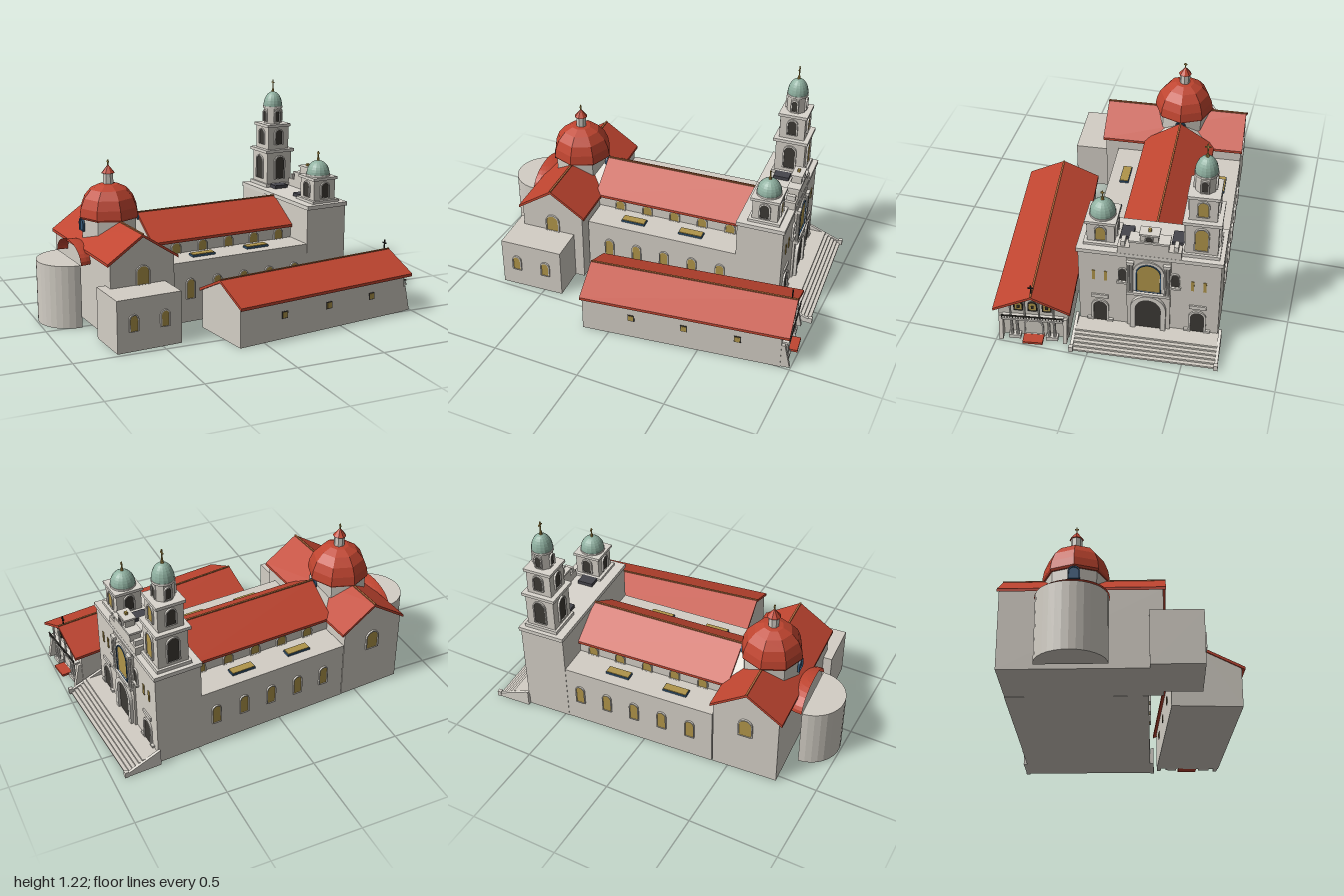
import * as THREE from 'three';

const C = { stone: 0xd3cec5, trim: 0xdad6ce, roof: 0xc04530, ridge: 0xb0683c, green: 0x8fb0a0, gold: 0xb0954a, dark: 0x3d3a35, blue: 0x35597a, iron: 0x222222, slate: 0x45454c };
const mats = {};
function mat(color, flat = true) {
  const key = color + '_' + flat;
  return mats[key] ??= new THREE.MeshStandardMaterial({ color, flatShading: flat, side: THREE.DoubleSide });
}
function add(parent, name, geo, color, x = 0, y = 0, z = 0, ry = 0, flat = true) {
  const m = new THREE.Mesh(geo, mat(color, flat));
  m.name = name;
  m.position.set(x, y, z);
  m.rotation.y = ry;
  parent.add(m);
  return m;
}
// Box given by its ranges in x, y and z
function box(parent, name, color, x0, x1, y0, y1, z0, z1) {
  return add(parent, name, new THREE.BoxGeometry(x1 - x0, y1 - y0, z1 - z0), color, (x0 + x1) / 2, (y0 + y1) / 2, (z0 + z1) / 2);
}
function slab(parent, name, color, x, z, half, y0, y1) {
  return box(parent, name, color, x - half, x + half, y0, y1, z - half, z + half);
}
function cyl(parent, name, color, r0, r1, y0, y1, x, z, n = 8, ry = 0) {
  return add(parent, name, new THREE.CylinderGeometry(r1, r0, y1 - y0, n), color, x, (y0 + y1) / 2, z, ry);
}
const extrude = (shape, depth) => new THREE.ExtrudeGeometry(shape, { depth, bevelEnabled: false, curveSegments: 8 });
const poly = pts => new THREE.Shape(pts.map(p => new THREE.Vector2(...p)));

function archPath(w, h, Type = THREE.Shape, y0 = 0) {
  const r = w / 2, s = new Type();
  s.moveTo(-r, y0);
  s.lineTo(r, y0);
  s.lineTo(r, h - r);
  s.absarc(0, h - r, r, 0, Math.PI, false);
  s.lineTo(-r, y0);
  return s;
}
// Arched opening: flat pane plus a raised surround, facing +z before turning by ry
function arch(parent, name, color, w, h, x, y, z, ry, rim = 0.007, rimColor = C.trim, depth = 0.01) {
  const g = new THREE.Group();
  g.name = name;
  g.position.set(x, y, z);
  g.rotation.y = ry;
  add(g, name + 'Pane', extrude(archPath(w, h), 0.004), color);
  if (rim) {
    const s = archPath(w + 2 * rim, h + rim);
    s.holes.push(archPath(w, h, THREE.Path, 0.001));
    add(g, name + 'Surround', extrude(s, depth), rimColor);
  }
  parent.add(g);
}
const E = Math.PI / 2, W = -Math.PI / 2, S = 0, N = Math.PI;

// Gabled wall block and its roof, running along x or z from a to b
function gabled(parent, name, o) {
  const { half, eave, ridge, a, b, ra, rb, axis = 'x', c = 0, over = 0.018 } = o;
  const slope = (ridge - eave) / half, R = half + over, e = ridge - slope * R, t = 0.016;
  const wall = extrude(poly([[-half, 0], [half, 0], [half, eave], [0, ridge], [-half, eave]]), b - a);
  const roof = extrude(poly([[-R, e], [0, ridge], [R, e], [R, e + t], [0, ridge + t], [-R, e + t]]), rb - ra);
  const cap = new THREE.BoxGeometry(0.01, 0.006, rb - ra);
  const ry = axis === 'x' ? E : 0;
  const at = s => axis === 'x' ? [s, 0, c] : [c, 0, s];
  add(parent, name + 'Walls', wall, C.stone, ...at(a), ry);
  add(parent, name + 'Roof', roof, C.roof, ...at(ra), ry);
  const [x, , z] = at((ra + rb) / 2);
  add(parent, name + 'RidgeTiles', cap, C.ridge, x, ridge + t, z, ry);
}
function cross(parent, color, x, y, z, h) {
  box(parent, 'crossPost', color, x - 0.003, x + 0.003, y, y + h, z - 0.003, z + 0.003);
  box(parent, 'crossArm', color, x - 0.003, x + 0.003, y + h * 0.65, y + h * 0.65 + 0.006, z - h * 0.25, z + h * 0.25);
}
function greenDome(parent, x, z, r, y, h, crossH) {
  cyl(parent, 'domeRing', C.trim, r * 1.04, r * 1.04, y - 0.012, y, x, z, 16);
  const d = add(parent, 'towerDome', new THREE.SphereGeometry(r, 16, 8, 0, Math.PI * 2, 0, E), C.green, x, y, z);
  d.scale.y = h / r;
  cyl(parent, 'domeFinial', C.gold, 0.009, 0.006, y + h - 0.003, y + h + 0.016, x, z);
  cross(parent, C.gold, x, y + h + 0.014, z, crossH);
}
// Gold window towards the front, dark openings on the other sides
function towerOpenings(parent, x, z, half, w, h, y, front = C.gold) {
  arch(parent, 'towerWindow', front, w, h, x + half, y, z, E);
  arch(parent, 'towerOpening', C.dark, w, h, x - half, y, z, W);
  arch(parent, 'towerOpening', C.dark, w, h, x, y, z + half, S);
  arch(parent, 'towerOpening', C.dark, w, h, x, y, z - half, N);
}

function buildNave(g) {
  box(g, 'aisles', C.stone, -0.38, 0.51, 0, 0.345, -0.37, 0.37);
  gabled(g, 'nave', { half: 0.19, eave: 0.422, ridge: 0.545, a: -0.5, b: 0.51, ra: -0.4, rb: 0.508 });
  for (const s of [1, -1]) {
    const dir = s > 0 ? S : N;
    for (let i = 0; i < 5; i++) {
      const u = -0.25 + i * 0.167;
      arch(g, 'clerestoryWindow', C.gold, 0.052, 0.06, u, 0.345, s * 0.19, dir, 0.005);
      arch(g, 'aisleWindow', C.gold, 0.046, 0.11, u, 0.135, s * 0.37, dir, 0.005);
    }
    for (const u of [-0.13, 0.215]) {
      box(g, 'skylightFrame', C.blue, u - 0.07, u + 0.07, 0.34, 0.356, s * 0.28 - 0.026, s * 0.28 + 0.026);
      box(g, 'skylightGlass', C.gold, u - 0.066, u + 0.066, 0.355, 0.36, s * 0.28 - 0.023, s * 0.28 + 0.023);
    }
  }
}

function buildTransept(g) {
  const u = -0.57;
  gabled(g, 'transept', { half: 0.185, eave: 0.42, ridge: 0.545, a: -0.368, b: 0.445, ra: -0.376, rb: 0.46, axis: 'z', c: u });
  arch(g, 'transeptWindow', C.gold, 0.07, 0.1, u, 0.285, 0.445, S);
  arch(g, 'transeptWindow', C.gold, 0.07, 0.11, u, 0.265, -0.368, N);
  // Flat-roofed annex
  box(g, 'annex', C.stone, -0.805, -0.44, 0, 0.285, 0.375, 0.643);
  for (const x of [-0.713, -0.536]) arch(g, 'annexWindow', C.gold, 0.042, 0.085, x, 0.11, 0.643, S);
  // Crossing dome with lantern
  cyl(g, 'drum', C.stone, 0.16, 0.16, 0.4, 0.58, u, 0);
  const prof = [[0.174, 0.572], [0.166, 0.62], [0.145, 0.672], [0.105, 0.718], [0.055, 0.742], [0, 0.75]];
  add(g, 'crossingDome', new THREE.LatheGeometry(prof.map(p => new THREE.Vector2(...p)), 8), C.roof, u, 0, 0);
  cyl(g, 'domeEave', C.roof, 0.168, 0.174, 0.56, 0.572, u, 0);
  for (const s of [1, -1]) arch(g, 'drumWindow', C.blue, 0.05, 0.065, u + s * 0.157, 0.495, 0, s * E, 0.006, C.blue, 0.012);
  cyl(g, 'lantern', C.stone, 0.03, 0.03, 0.735, 0.81, u, 0);
  cyl(g, 'lanternRoof', C.roof, 0.038, 0.004, 0.805, 0.848, u, 0);
  cross(g, C.gold, u, 0.84, 0, 0.038);
  // Half-round apse, standing just clear of the rear wall
  const half = new THREE.Shape();
  half.absarc(0, 0, 0.18, 0, Math.PI, false);
  half.closePath();
  const wall = add(g, 'apseWall', extrude(half, 0.352).rotateX(-E), C.stone, -0.815, 0, 0, E);
  wall.scale.z = 1;
  const cap = add(g, 'apseHalfDome', new THREE.SphereGeometry(0.185, 16, 8, -E, Math.PI, 0, E), C.roof, -0.815, 0.35, 0, N);
  cap.scale.y = 0.55;
}

function buildFront(g) {
  const F = 0.765;
  box(g, 'frontBlock', C.stone, 0.505, F, 0, 0.56, -0.372, 0.372);
  box(g, 'frontCornice', C.trim, 0.5, F + 0.008, 0.547, 0.57, -0.381, 0.381);
  // Central bay: door, large window, paired columns
  box(g, 'centralBay', C.stone, F, F + 0.012, 0.06, 0.548, -0.115, 0.115);
  arch(g, 'mainDoor', C.dark, 0.134, 0.212, F + 0.012, 0.063, 0, E, 0.027, C.trim, 0.018);
  arch(g, 'mainWindow', C.gold, 0.12, 0.185, F + 0.012, 0.33, 0, E, 0.006, C.blue, 0.012);
  arch(g, 'mainWindowArch', C.gold, 0.118, 0.185, F + 0.0115, 0.33, 0, E, 0.022, C.trim, 0.008);
  box(g, 'balconySill', C.trim, F, F + 0.03, 0.305, 0.322, -0.115, 0.115);
  for (const s of [1, -1]) {
    for (const d of [0.087, 0.104]) cyl(g, 'bayColumn', C.trim, 0.0075, 0.0075, 0.32, 0.52, F + 0.02, s * d);
    box(g, 'columnCapital', C.trim, F, F + 0.03, 0.515, 0.532, s * 0.0955 - 0.02, s * 0.0955 + 0.02);
    arch(g, 'sideNiche', C.dark, 0.036, 0.085, F, 0.375, s * 0.137, E, 0.006);
    box(g, 'nicheSill', C.trim, F, F + 0.016, 0.362, 0.374, s * 0.137 - 0.03, s * 0.137 + 0.03);
    // Side bays
    arch(g, 'sideDoor', C.dark, 0.07, 0.142, F, 0.063, s * 0.26, E, 0.012);
    box(g, 'sideDoorPanel', C.trim, F, F + 0.008, 0.232, 0.255, s * 0.26 - 0.045, s * 0.26 + 0.045);
    for (const d of [-0.032, 0.032]) {
      box(g, 'slitWindow', C.gold, F, F + 0.004, 0.36, 0.424, s * 0.26 + d - 0.008, s * 0.26 + d + 0.008);
      box(g, 'doorLedge', C.trim, F, F + 0.014, 0.072, 0.084, s * 0.26 + d * 1.75 - 0.014, s * 0.26 + d * 1.75 + 0.014);
    }
    box(g, 'roofHatch', C.slate, 0.575, 0.665, 0.565, 0.59, s * 0.135 - 0.033, s * 0.135 + 0.033);
    box(g, 'parapetPost', C.trim, 0.715, 0.765, 0.57, 0.645, s * 0.137 - 0.011, s * 0.137 + 0.011);
    // Sloping cheek walls of the stairs
    const cheek = extrude(poly([[0.76, 0], [0.965, 0], [0.965, 0.02], [0.93, 0.03], [0.77, 0.095], [0.76, 0.095]]), 0.016);
    add(g, 'stairCheek', cheek, C.trim, 0, 0, s * 0.385 - 0.008);
    box(g, 'stairPost', C.trim, 0.945, 0.967, 0, 0.034, s * 0.385 - 0.011, s * 0.385 + 0.011);
  }
  // Stepped pediment
  box(g, 'pedimentBase', C.stone, 0.71, 0.772, 0.565, 0.615, -0.165, 0.165);
  box(g, 'pedimentMiddle', C.stone, 0.71, 0.772, 0.61, 0.66, -0.1, 0.1);
  box(g, 'pedimentCap', C.trim, 0.705, 0.778, 0.656, 0.668, -0.106, 0.106);
  box(g, 'pedimentTop', C.stone, 0.715, 0.77, 0.665, 0.71, -0.046, 0.046);
  box(g, 'pedimentTopCap', C.trim, 0.71, 0.776, 0.706, 0.717, -0.052, 0.052);
  arch(g, 'pedimentNiche', C.dark, 0.034, 0.034, 0.77, 0.67, 0, E, 0.005);
  box(g, 'pedimentFinial', C.gold, 0.735, 0.75, 0.715, 0.732, -0.008, 0.008);
  // Broad stairs
  for (let i = 0; i < 6; i++) box(g, 'step', C.stone, 0.76, 0.955 - i * 0.019, i * 0.011, (i + 1) * 0.011, -0.38, 0.38);
}

function buildTowers(g) {
  const x = 0.645, z = 0.26;
  // Short tower
  slab(g, 'shortTowerPlinth', C.trim, x, z, 0.09, 0.565, 0.585);
  slab(g, 'shortTower', C.stone, x, z, 0.072, 0.58, 0.71);
  slab(g, 'shortTowerCornice', C.trim, x, z, 0.082, 0.702, 0.718);
  towerOpenings(g, x, z, 0.072, 0.05, 0.088, 0.598);
  greenDome(g, x, z, 0.068, 0.728, 0.08, 0.038);
  // Tall tower in three stages
  slab(g, 'tallTowerPlinth', C.trim, x, -z, 0.098, 0.565, 0.59);
  slab(g, 'tallTowerLower', C.stone, x, -z, 0.085, 0.58, 0.79);
  slab(g, 'tallTowerLowerCornice', C.trim, x, -z, 0.099, 0.782, 0.8);
  towerOpenings(g, x, -z, 0.085, 0.064, 0.14, 0.615);
  slab(g, 'tallTowerMiddle', C.stone, x, -z, 0.072, 0.8, 0.945);
  slab(g, 'tallTowerMiddleCornice', C.trim, x, -z, 0.082, 0.938, 0.955);
  towerOpenings(g, x, -z, 0.072, 0.05, 0.092, 0.828);
  cyl(g, 'tallTowerBelfry', C.stone, 0.055, 0.055, 0.95, 1.055, x, -z, 8, Math.PI / 8);
  towerOpenings(g, x, -z, 0.05, 0.03, 0.065, 0.968, C.dark);
  greenDome(g, x, -z, 0.058, 1.062, 0.088, 0.06);
}

function buildHall(g) {
  gabled(g, 'hall', { half: 0.188, eave: 0.215, ridge: 0.305, a: -0.57, b: 0.535, ra: -0.578, rb: 0.578 });
  for (const s of [1, -1]) {
    const dir = s > 0 ? S : N;
    for (const u of [-0.29, 0.005, 0.3]) {
      box(g, 'hallWindowFrame', C.dark, u - 0.019, u + 0.019, 0.113, 0.153, s * 0.188 - 0.003, s * 0.188 + 0.003);
      box(g, 'hallWindow', C.gold, u - 0.014, u + 0.014, 0.118, 0.148, s * 0.188 - 0.005, s * 0.188 + 0.005);
    }
    // Porch columns and corner piers
    for (const d of [0.085, 0.115]) cyl(g, 'porchColumn', C.trim, 0.009, 0.008, 0.02, 0.145, 0.556, s * d);
    box(g, 'columnPlinth', C.trim, 0.535, 0.57, 0, 0.024, s * 0.1 - 0.032, s * 0.1 + 0.032);
    const pier = extrude(poly([[0.53, 0], [0.585, 0], [0.553, 0.145], [0.53, 0.145]]), 0.022);
    add(g, 'cornerPier', pier, C.stone, 0, 0, s * 0.172 - 0.011, 0);
    for (const d of [0.038, 0.115]) cyl(g, 'balconyPost', C.trim, 0.006, 0.006, 0.155, d < 0.1 ? 0.285 : 0.25, 0.562, s * d);
  }
  // Front door, step, balcony and upper windows
  arch(g, 'hallDoor', C.stone, 0.09, 0.105, 0.535, 0.015, 0, E, 0.008);
  box(g, 'hallStep', C.roof, 0.535, 0.604, 0, 0.014, -0.054, 0.054);
  box(g, 'balconyFloor', C.trim, 0.53, 0.575, 0.143, 0.155, -0.165, 0.165);
  box(g, 'balconyRail', C.dark, 0.57, 0.576, 0.17, 0.176, -0.165, 0.165);
  for (let i = 0; i <= 22; i++) {
    const z = -0.162 + i * 0.0147;
    box(g, 'baluster', C.dark, 0.572, 0.575, 0.154, 0.172, z - 0.0015, z + 0.0015);
  }
  for (const z of [-0.076, 0, 0.076]) {
    arch(g, 'balconyWindow', C.gold, 0.04, 0.06, 0.535, 0.188, z, E, 0.005, C.dark);
    box(g, 'windowLantern', C.dark, 0.537, 0.545, 0.205, 0.222, z - 0.007, z + 0.007);
  }
  cross(g, C.iron, 0.545, 0.315, 0, 0.062);
}

export function createModel() {
  const model = new THREE.Group();
  model.name = 'missionChurch';
  const church = new THREE.Group();
  church.name = 'church';
  church.position.set(0, 0, -0.225);
  church.rotation.y = 0.073;
  for (const build of [buildNave, buildTransept, buildFront, buildTowers]) build(church);
  const hall = new THREE.Group();
  hall.name = 'oldHall';
  hall.position.set(0.39, 0, 0.385);
  hall.rotation.y = 0.14;
  buildHall(hall);
  model.add(church, hall);
  return model;
}
